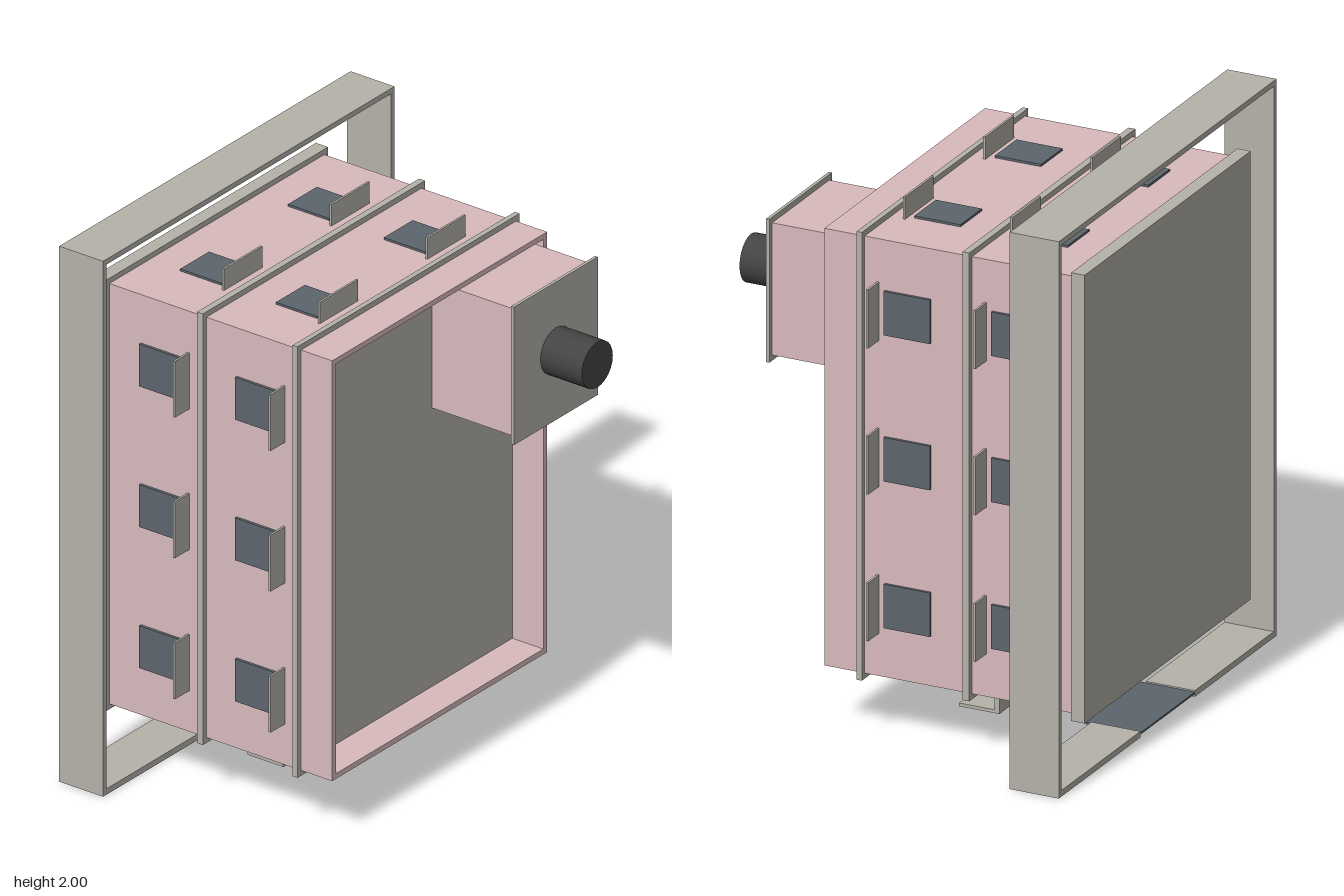
import * as THREE from 'three';

const mat = (color) => new THREE.MeshStandardMaterial({ color });

export function createModel() {
  const group = new THREE.Group();
  const pink = mat(0xd8babc), grey = mat(0xb5b2aa), slate = mat(0x5c656d), dark = mat(0x444444);

  const add = (name, geometry, material) => {
    const mesh = new THREE.Mesh(geometry, material);
    mesh.name = name;
    group.add(mesh);
    return mesh;
  };
  // Box given by its extents along each axis
  const box = (name, material, [x0, x1], [y0, y1], [z0, z1]) =>
    add(name, new THREE.BoxGeometry(x1 - x0, y1 - y0, z1 - z0), material)
      .position.set((x0 + x1) / 2, (y0 + y1) / 2, (z0 + z1) / 2);

  // Rectangular casing, open at the front
  const rect = (target, x, y0, y1) => {
    target.moveTo(-x, y0).lineTo(x, y0).lineTo(x, y1).lineTo(-x, y1).closePath();
    return target;
  };
  const outline = rect(new THREE.Shape(), 0.59, 0.22, 1.79);
  outline.holes.push(rect(new THREE.Path(), 0.57, 0.24, 1.77));
  add('casing', new THREE.ExtrudeGeometry(outline, { depth: 0.93, bevelEnabled: false }), pink)
    .position.z = -0.64;

  // Plates across the casing: front panel, middle divider, back panel
  box('frontPanel', grey, [-0.61, 0.61], [0.2, 1.81], [0.14, 0.16]);
  box('middlePlate', grey, [-0.61, 0.61], [0.2, 1.81], [-0.26, -0.235]);
  box('backPanel', grey, [-0.61, 0.61], [0.2, 1.81], [-0.69, -0.64]);

  // Two rows of vents with deflector flaps around the casing
  for (const z of [0, -0.4]) {
    const ventZ = [z - 0.108, z + 0.064], flapZ = [z + 0.086, z + 0.094];
    for (const s of [-1, 1]) {
      const span = (a, b) => (s > 0 ? [a, b] : [-b, -a]);
      for (const y of [0.478, 1.005, 1.53]) {
        box('sideVent', slate, span(0.58, 0.6), [y - 0.079, y + 0.079], ventZ);
        box('sideFlap', grey, span(0.59, 0.67), [y - 0.105, y + 0.105], flapZ);
      }
      const ventX = span(0.217, 0.375), flapX = span(0.19, 0.4);
      box('topVent', slate, ventX, [1.78, 1.798], ventZ);
      box('topFlap', grey, flapX, [1.79, 1.87], flapZ);
      box('bottomVent', slate, ventX, [0.21, 0.23], ventZ);
      box('bottomFlap', grey, flapX, [0.137, 0.22], flapZ);
    }
  }

  // L-shaped bracket below the casing
  box('bracketWall', grey, [-0.355, 0.355], [0.058, 0.21], [-0.243, -0.225]);
  box('bracketLip', grey, [-0.355, 0.355], [0.058, 0.07], [-0.243, -0.093]);

  // Front housing with cover and knob
  box('frontHousing', pink, [0.13, 0.55], [1.28, 1.755], [0.15, 0.506]);
  box('housingCover', grey, [0.11, 0.57], [1.26, 1.775], [0.505, 0.517]);
  const knob = add('knob', new THREE.CylinderGeometry(0.085, 0.085, 0.18, 24), dark);
  knob.rotation.x = Math.PI / 2;
  knob.position.set(0.34, 1.52, 0.6);

  // Rear frame with a foot plate bridging the gap at the bottom
  const frameZ = [-0.69, -0.507];
  box('frameTop', grey, [-0.8, 0.8], [1.98, 2], frameZ);
  for (const s of [-1, 1]) {
    const span = (a, b) => (s > 0 ? [a, b] : [-b, -a]);
    box('frameSide', grey, span(0.78, 0.8), [0, 2], frameZ);
    box('frameBottom', grey, span(0.2, 0.78), [0, 0.022], frameZ);
  }
  box('footPlate', slate, [-0.2, 0.2], [0.01, 0.017], [-0.69, -0.485]);

  return group;
}
